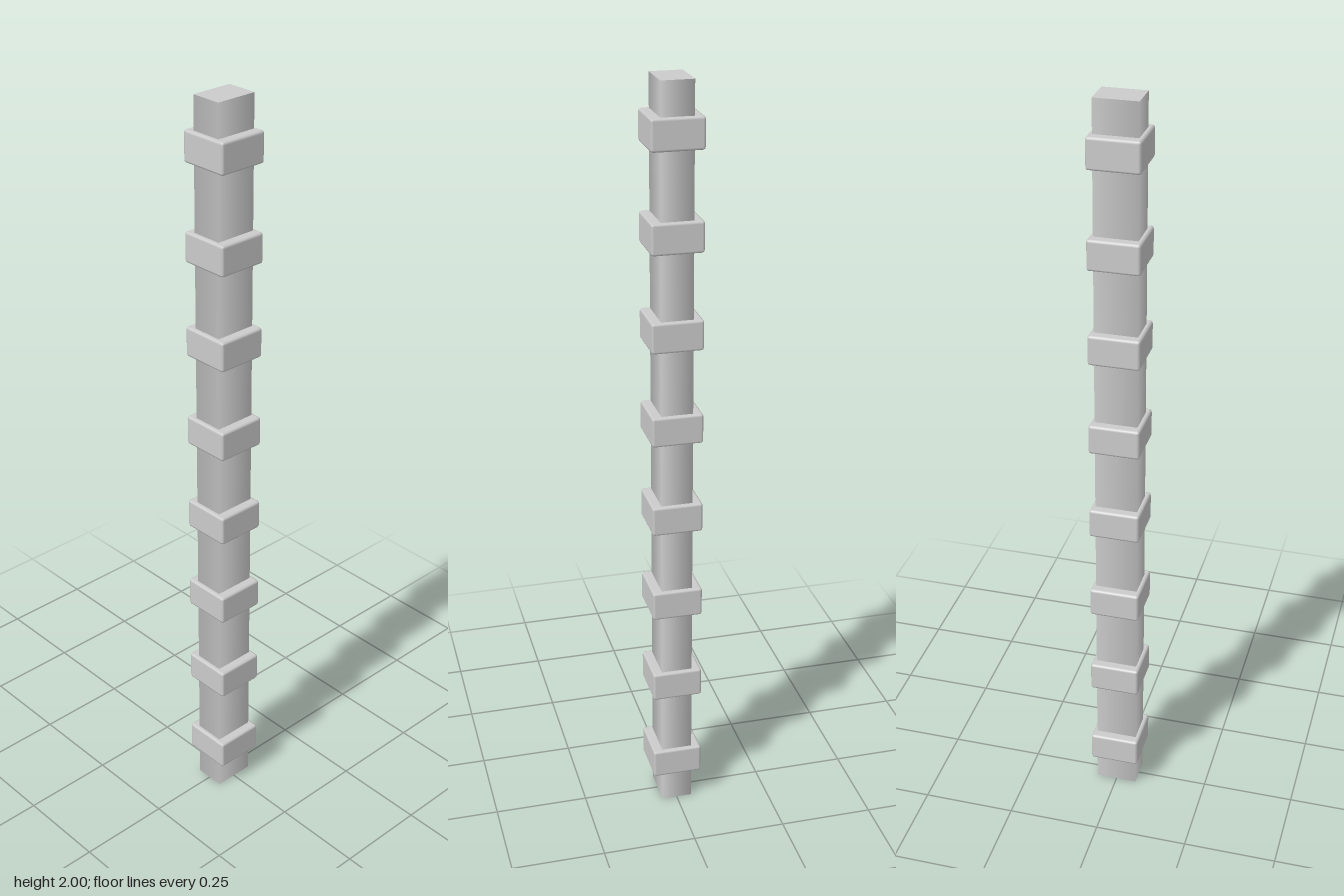
import * as THREE from 'three';
import { RoundedBoxGeometry } from 'three/addons/geometries/RoundedBoxGeometry.js';

export function createModel() {
  const group = new THREE.Group();
  const material = new THREE.MeshStandardMaterial({ color: 0xcccccc });

  // rectangular post: four softly shaded sides with flat ends
  const postGeometry = new THREE.CylinderGeometry(Math.SQRT1_2, Math.SQRT1_2, 2, 4);
  postGeometry.rotateY(Math.PI / 4);
  postGeometry.scale(0.112, 1, 0.083);
  const post = new THREE.Mesh(postGeometry, material);
  post.name = 'post';
  post.position.y = 1;
  group.add(post);

  // evenly spaced square collars with small softened edges
  const collarGeometry = new RoundedBoxGeometry(0.134, 0.08, 0.134, 1, 0.007);
  for (let i = 0; i < 8; i++) {
    const collar = new THREE.Mesh(collarGeometry, material);
    collar.name = `collar${i + 1}`;
    collar.position.y = 0.125 + i * 0.25;
    group.add(collar);
  }

  return group;
}
